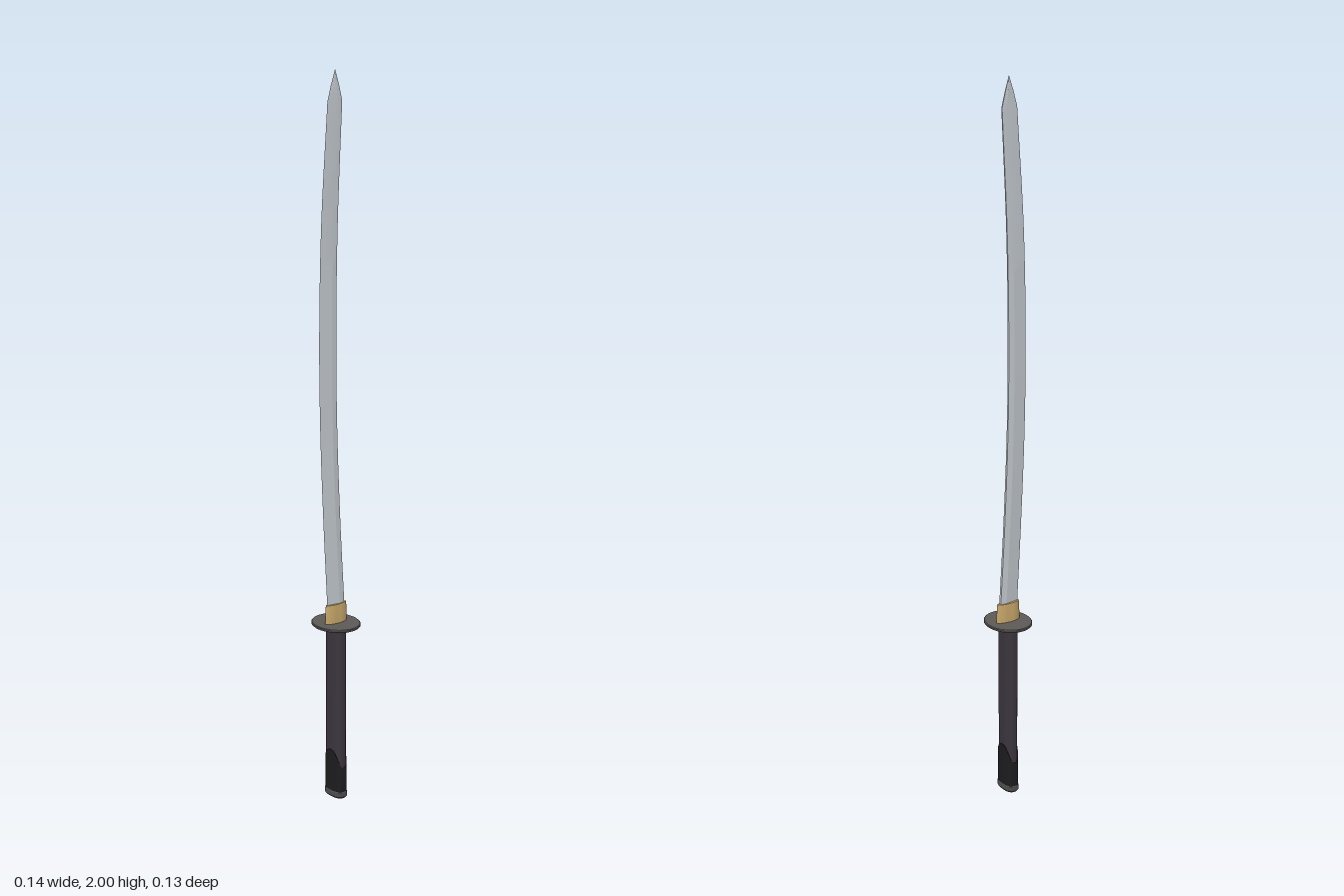
import * as THREE from 'three';
import { toCreasedNormals } from 'three/addons/utils/BufferGeometryUtils.js';

const mat = (color) => new THREE.MeshStandardMaterial({ color });

// Skin equal-sized rings of [x, y, z] points from bottom to top, closing both ends
function loft(rings, crease = 0.6) {
  const n = rings[0].length, pos = rings.flat(2), idx = [];
  for (let r = 0; r < rings.length - 1; r++) {
    for (let i = 0; i < n; i++) {
      const a = r * n + i, b = r * n + (i + 1) % n;
      idx.push(a, a + n, b, b, a + n, b + n);
    }
  }
  const top = (rings.length - 1) * n;
  for (let i = 1; i < n - 1; i++) {
    idx.push(0, i, i + 1, top, top + i + 1, top + i);
  }
  const geo = new THREE.BufferGeometry();
  geo.setAttribute('position', new THREE.Float32BufferAttribute(pos, 3));
  geo.setIndex(idx);
  return toCreasedNormals(geo, crease);
}

// Oval ring; power 2 is an ellipse, higher is boxier. y may depend on the angle
function oval(rx, rz, y, power = 2, n = 40) {
  return Array.from({ length: n }, (_, i) => {
    const t = i / n * Math.PI * 2, c = Math.cos(t), s = Math.sin(t);
    const f = (v) => Math.sign(v) * Math.abs(v) ** (2 / power);
    return [rx * f(c), typeof y === 'function' ? y(c) : y, rz * f(s)];
  });
}

// Lens-shaped ring, pointed at both z ends
function lens(rx, rz, y, n = 24) {
  return Array.from({ length: n }, (_, i) => {
    const t = i / n * Math.PI * 2, c = Math.cos(t);
    return [rx * Math.sign(c) * Math.abs(c) ** 1.4, y, rz * Math.sin(t)];
  });
}

export function createModel() {
  const group = new THREE.Group();
  const add = (name, geo, color) => {
    const mesh = new THREE.Mesh(geo, mat(color));
    mesh.name = name;
    group.add(mesh);
  };

  // Curved blade: cutting edge on +z, narrow back on -z
  const curve = (points) => new THREE.CatmullRomCurve3(points.map(([y, z]) => new THREE.Vector3(0, y, z)));
  const edge = curve([[0.54, 0.029], [0.8, 0.043], [1.05, 0.053], [1.3, 0.056], [1.6, 0.049], [1.92, 0.028]]);
  const back = curve([[0.54, -0.027], [0.8, -0.012], [1.05, -0.002], [1.3, 0.001], [1.6, -0.004], [1.92, -0.019]]);
  const section = (y0, z0, y1, z1, h) => {
    const ridge = THREE.MathUtils.lerp(z0, z1, 0.3), y = (y0 + y1) / 2;
    return [[0, y1, z1], [-h, y, ridge], [-h * 0.6, y0, z0], [h * 0.6, y0, z0], [h, y, ridge]];
  };
  const bladeRings = [];
  for (let i = 0; i <= 40; i++) {
    const e = edge.getPoint(i / 40), b = back.getPoint(i / 40);
    bladeRings.push(section(b.y, b.z, e.y, e.z, 0.0065 - 0.0035 * i / 40));
  }
  bladeRings.push(section(1.96, -0.009, 1.96, 0.017, 0.0025));
  bladeRings.push(section(2, 0.0025, 2, 0.0035, 0.0005));
  add('blade', loft(bladeRings, 0.2), 0xc0c6cb);

  // Collar at the root of the blade
  add('bladeCollar', loft([
    lens(0.013, 0.037, 0.506), lens(0.013, 0.037, 0.53), lens(0.011, 0.035, 0.562),
  ]), 0xc4a468);

  // Oval hand guard
  add('guard', loft([
    oval(0.07, 0.061, 0.501), oval(0.072, 0.063, 0.503),
    oval(0.072, 0.063, 0.507), oval(0.07, 0.061, 0.509),
  ]), 0x5c5955);

  // Grip with a ring under the guard
  add('grip', loft([oval(0.033, 0.018, 0.01, 2.6), oval(0.033, 0.018, 0.49, 2.6)]), 0x3b353d);
  add('gripRing', loft([
    oval(0.035, 0.02, 0.484, 2.6), oval(0.036, 0.021, 0.488, 2.6), oval(0.036, 0.021, 0.502, 2.6),
  ]), 0x3a393b);

  // End cap, reaching higher on the broad faces than at the narrow sides
  const rim = (c) => 0.14 - 0.05 * c * c;
  add('endCap', loft([
    oval(0.035, 0.02, 0.018, 2.6), oval(0.035, 0.02, rim, 2.6), oval(0.033, 0.018, rim, 2.6),
  ]), 0x1c1c1e);

  // Pommel plate
  add('pommel', loft([
    oval(0.033, 0.018, 0, 2.6), oval(0.036, 0.021, 0.004, 2.6),
    oval(0.036, 0.021, 0.018, 2.6), oval(0.034, 0.019, 0.021, 2.6),
  ]), 0x4a4a4c);

  return group;
}
